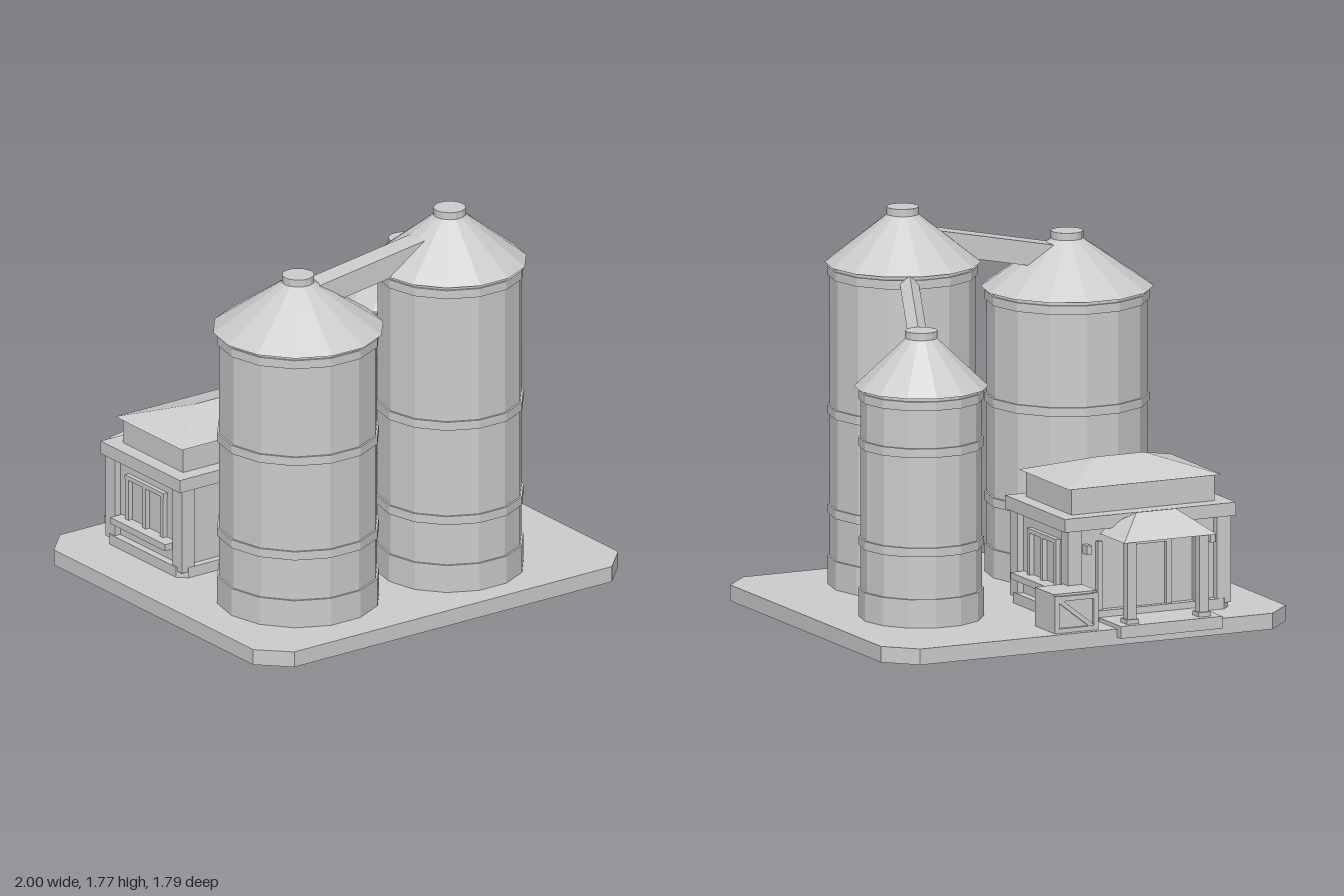
import * as THREE from 'three';

export function createModel() {
  const model = new THREE.Group();
  model.name = 'grainSilos';
  const grey = new THREE.MeshStandardMaterial({ color: 0xcccccc, flatShading: true });
  grey.name = 'light grey';

  const add = (name, geo, x = 0, y = 0, z = 0, parent = model) => {
    const m = new THREE.Mesh(geo, grey);
    m.name = name;
    m.position.set(x, y, z);
    parent.add(m);
    return m;
  };
  // Box given by its limits on each axis
  const block = (name, x0, x1, y0, y1, z0, z1, parent = model) =>
    add(name, new THREE.BoxGeometry(x1 - x0, y1 - y0, z1 - z0),
      (x0 + x1) / 2, (y0 + y1) / 2, (z0 + z1) / 2, parent);

  // Rectangle with cut corners, drawn in x and -z
  const cutRect = (Type, x0, x1, z0, z1, c) => new Type([
    [x0 + c, z0], [x1 - c, z0], [x1, z0 + c], [x1, z1 - c],
    [x1 - c, z1], [x0 + c, z1], [x0, z1 - c], [x0, z0 + c],
  ].map(([x, z]) => new THREE.Vector2(x, -z)));
  const slab = (name, shape, y0, y1, parent = model) => {
    const geo = new THREE.ExtrudeGeometry(shape, { depth: y1 - y0, bevelEnabled: false });
    geo.rotateX(-Math.PI / 2);
    return add(name, geo, 0, y0, 0, parent);
  };

  // Hipped roof: box whose top is drawn in to a ridge
  const hipRoof = (name, x0, x1, y0, y1, z0, z1, ridge, parent) => {
    const m = block(name, x0, x1, y0, y1, z0, z1, parent);
    const p = m.geometry.attributes.position;
    for (let i = 0; i < p.count; i++) {
      if (p.getY(i) > 0) {
        p.setX(i, Math.sign(p.getX(i)) * ridge / 2);
        p.setZ(i, 0);
      }
    }
    m.geometry.computeVertexNormals();
    return m;
  };

  // Hollow base: top plate and rim
  slab('basePlate', cutRect(THREE.Shape, -1, 1, -0.86, 0.89, 0.13), 0.06, 0.072);
  const rim = cutRect(THREE.Shape, -1, 1, -0.86, 0.89, 0.13);
  rim.holes.push(cutRect(THREE.Path, -0.99, 0.99, -0.85, 0.88, 0.126));
  slab('baseRim', rim, 0, 0.06);

  // Silos
  const SIDES = 14;
  const drum = (name, rTop, rBottom, y0, y1, parent) => {
    const geo = new THREE.CylinderGeometry(rTop, rBottom, y1 - y0, SIDES);
    geo.rotateY(Math.PI / SIDES);
    return add(name, geo, 0, (y0 + y1) / 2, 0, parent);
  };
  const silo = (name, x, z, ringR, eaveR, eaveY) => {
    const g = new THREE.Group();
    g.name = name;
    g.position.set(x, 0, z);
    model.add(g);
    drum('wall', ringR - 0.009, ringR - 0.009, 0.06, eaveY, g);
    [[0.065, 0.2], [0.392, 0.432], [0.84, 0.88], [eaveY - 0.058, eaveY - 0.018]]
      .forEach(([a, b]) => drum('ring', ringR, ringR, a, b, g));
    drum('roof', 0.065, eaveR, eaveY, eaveY + 0.22, g);
    drum('cap', 0.072, 0.072, eaveY + 0.217, eaveY + 0.25, g);
  };
  silo('wideSilo', -0.47, 0.373, 0.364, 0.382, 1.358);
  silo('tallSilo', 0.302, 0.452, 0.332, 0.345, 1.523);
  silo('shortSilo', 0.543, -0.214, 0.277, 0.297, 1.11);

  // Chutes joining the silo roofs
  const chute = (name, from, to, size, roll) => {
    const a = new THREE.Vector3(...from), b = new THREE.Vector3(...to);
    const geo = new THREE.BoxGeometry(size, size, a.distanceTo(b));
    geo.rotateZ(roll);
    const m = add(name, geo);
    m.position.copy(a).add(b).multiplyScalar(0.5);
    m.lookAt(b);
  };
  chute('longChute', [-0.395, 1.502, 0.382], [0.16, 1.61, 0.436], 0.105, 0);
  chute('shortChute', [0.53, 1.305, -0.16], [0.415, 1.49, 0.16], 0.06, Math.PI / 4);

  // House
  const house = new THREE.Group();
  house.name = 'house';
  model.add(house);
  slab('plinth', cutRect(THREE.Shape, -0.76, 0.055, -0.68, -0.105, 0.04), 0.04, 0.12, house);
  block('walls', -0.725, 0.02, 0.1, 0.5, -0.645, -0.14, house);
  for (const x of [-0.755, -0.02]) {
    for (const z of [-0.678, -0.177]) block('cornerPillar', x, x + 0.07, 0.1, 0.5, z, z + 0.07, house);
  }
  block('eaveSlab', -0.775, 0.07, 0.49, 0.55, -0.688, -0.095, house);
  block('upperWall', -0.705, 0, 0.54, 0.672, -0.615, -0.165, house);
  hipRoof('mainRoof', -0.73, 0.025, 0.67, 0.75, -0.64, -0.14, 0.235, house);

  // Side windows with posts and a ledge
  for (const [name, xin, xout, s] of [['right', -0.725, -0.79, -1], ['left', 0.02, 0.088, 1]]) {
    const span = (n, a, b, y0, y1, z0, z1) =>
      block(name + n, Math.min(a, b), Math.max(a, b), y0, y1, z0, z1, house);
    span('Ledge', xin, xout, 0.19, 0.22, -0.595, -0.185);
    for (const z of [-0.53, -0.4, -0.27]) span('WindowPost', xin, xin + s * 0.022, 0.22, 0.42, z - 0.012, z + 0.012);
    span('WindowHead', xin, xin + s * 0.022, 0.41, 0.43, -0.545, -0.255);
  }

  // Back door and window frames
  block('door', -0.44, -0.265, 0.09, 0.4, -0.654, -0.64, house);
  for (const x of [-0.59, -0.455, -0.25, -0.115]) block('doorPost', x - 0.012, x + 0.012, 0.1, 0.43, -0.667, -0.64, house);
  block('doorHead', -0.467, -0.238, 0.4, 0.43, -0.667, -0.64, house);
  for (const x of [-0.66, -0.05]) block('lamp', x - 0.012, x + 0.012, 0.38, 0.42, -0.69, -0.64, house);

  // Porch
  const porch = new THREE.Group();
  porch.name = 'porch';
  model.add(porch);
  block('porchFloor', -0.603, -0.102, 0.035, 0.09, -0.898, -0.66, porch);
  for (const x of [-0.53, -0.175]) {
    block('porchPost', x - 0.022, x + 0.022, 0.08, 0.465, -0.862, -0.818, porch);
    block('postFoot', x - 0.03, x + 0.03, 0.08, 0.11, -0.87, -0.81, porch);
  }
  hipRoof('porchRoof', -0.582, -0.125, 0.46, 0.562, -0.885, -0.6, 0.195, porch);

  // Braced crate
  const crate = new THREE.Group();
  crate.name = 'crate';
  model.add(crate);
  block('crateBody', -0.022, 0.192, 0.065, 0.247, -0.82, -0.635, crate);
  for (const x of [-0.022, 0.17]) block('frameSide', x, x + 0.022, 0.07, 0.24, -0.834, -0.815, crate);
  for (const y of [0.07, 0.215]) block('frameBar', -0.022, 0.192, y, y + 0.022, -0.834, -0.815, crate);
  const brace = add('brace', new THREE.BoxGeometry(0.225, 0.02, 0.012), 0.085, 0.154, -0.824, crate);
  brace.rotation.z = 0.67;

  return model;
}
